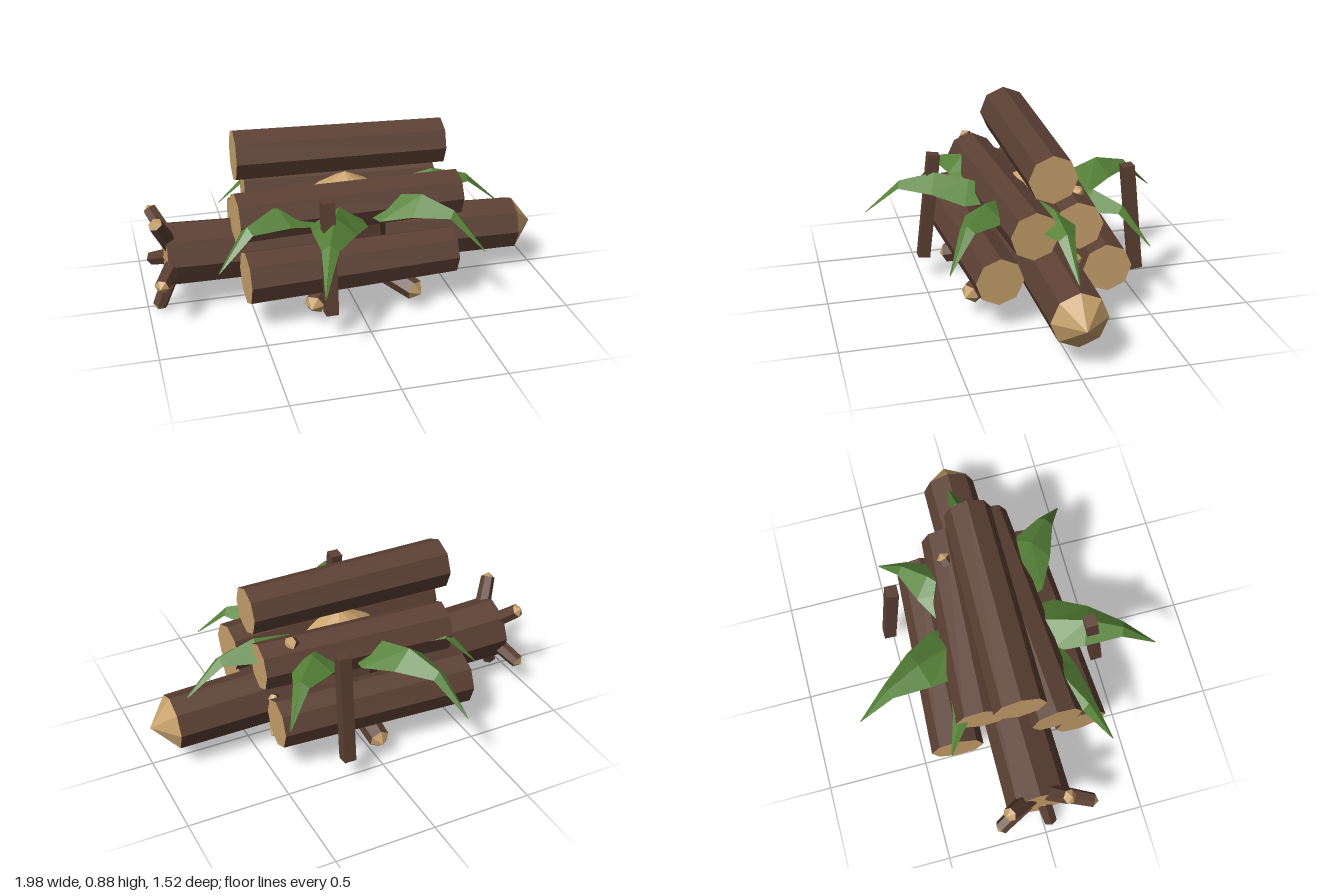
import * as THREE from 'three';

const bark = new THREE.MeshStandardMaterial({ name: 'bark', color: 0x5c4033, flatShading: true });
const wood = new THREE.MeshStandardMaterial({ name: 'cut wood', color: 0xc8a26c, flatShading: true });
const leaf = new THREE.MeshStandardMaterial({ name: 'leaf green', color: 0x568238, flatShading: true, side: THREE.DoubleSide });

const UP = new THREE.Vector3(0, 1, 0);
const vec = (p) => new THREE.Vector3(...p);

// Places a y-aligned mesh so that it runs from p to q
function along(mesh, p, q) {
  const a = vec(p), b = vec(q);
  mesh.position.copy(a).add(b).multiplyScalar(0.5);
  mesh.quaternion.setFromUnitVectors(UP, b.sub(a).normalize());
  return mesh;
}

// Tapered bark cylinder with cut wood on both ends
function log(name, p, q, r0, r1, sides = 8) {
  const h = vec(p).distanceTo(vec(q));
  const mesh = new THREE.Mesh(new THREE.CylinderGeometry(r1, r0, h, sides), [bark, wood, wood]);
  mesh.name = name;
  return along(mesh, p, q);
}

// Log whose far end finishes in a blunt wooden point
function pointed(name, p, q, r0, r1, point, sides) {
  const group = new THREE.Group();
  group.name = name;
  const tip = vec(q).sub(vec(p)).normalize().multiplyScalar(point).add(vec(q)).toArray();
  const cone = new THREE.Mesh(new THREE.ConeGeometry(r1, point, sides, 1, true), wood);
  cone.name = name + 'Tip';
  group.add(log(name + 'Bark', p, q, r0, r1, sides), along(cone, q, tip));
  return group;
}

// Drooping frond: ridge line with lower edges, growing outward along +x
function frond(length, angle) {
  const rows = [ // distance, half width, ridge height, edge height
    [0.05, 0.04, 0.50, 0.47], [0.28, 0.14, 0.56, 0.47], [0.45, 0.105, 0.59, 0.51],
    [0.63, 0.04, 0.54, 0.51], [0.81, 0.002, 0.365, 0.36],
  ];
  const pos = [], index = [];
  rows.forEach(([d, w, ridge, edge], i) => {
    const x = d * length / 0.81;
    pos.push(x, edge, -w, x, ridge, 0, x, edge, w);
    if (i === 0) return;
    for (let k = 0; k < 2; k++) {
      const a = (i - 1) * 3 + k, b = a + 3;
      index.push(a, a + 1, b, a + 1, b + 1, b);
    }
  });
  const geo = new THREE.BufferGeometry();
  geo.setAttribute('position', new THREE.Float32BufferAttribute(pos, 3));
  geo.setIndex(index);
  geo.computeVertexNormals();
  const mesh = new THREE.Mesh(geo, leaf);
  mesh.name = 'frond';
  mesh.rotation.y = -angle;
  return mesh;
}

export function createModel() {
  const model = new THREE.Group();
  model.name = 'logPile';

  // Stacked logs
  model.add(
    log('topLog', [-0.545, 0.76, -0.025], [0.485, 0.745, -0.01], 0.127, 0.117),
    log('middleFrontLog', [-0.575, 0.512, 0.155], [0.545, 0.502, 0.09], 0.127, 0.117),
    log('middleBackLog', [-0.48, 0.505, -0.19], [0.48, 0.505, -0.135], 0.127, 0.117),
    log('bottomFrontLog', [-0.555, 0.265, 0.295], [0.48, 0.262, 0.24], 0.13, 0.117),
    log('bottomBackLog', [-0.53, 0.265, -0.33], [0.46, 0.265, -0.285], 0.13, 0.12),
  );

  // Long fallen trunk with a ring of roots
  model.add(pointed('fallenTrunk', [-0.9, 0.283, -0.015], [0.89, 0.24, -0.02], 0.16, 0.135, 0.11, 8));
  [-82, -8, 64, 136, 208].forEach((deg) => {
    const t = THREE.MathUtils.degToRad(deg), c = Math.cos(t), s = Math.sin(t);
    model.add(pointed('trunkRoot',
      [-0.87, 0.28 + 0.08 * s, 0.08 * c], [-0.945, 0.28 + 0.25 * s, 0.25 * c], 0.042, 0.036, 0.025, 6));
  });
  model.add(pointed('trunkBranch', [0.36, 0.27, -0.06], [0.42, 0.31, -0.155], 0.03, 0.025, 0.015, 6));

  // Upright stump with spreading roots and a side branch
  model.add(pointed('stump', [0, 0.14, 0], [0, 0.53, 0], 0.25, 0.19, 0.1, 9));
  for (let i = 0; i < 5; i++) {
    const t = THREE.MathUtils.degToRad(-92 + 72 * i), c = Math.cos(t), s = Math.sin(t);
    model.add(pointed('stumpRoot',
      [0.14 * c, 0.19, 0.14 * s], [0.43 * c, 0.112, 0.43 * s], 0.062, 0.052, 0.04, 6));
  }
  model.add(pointed('stumpBranch', [0.13, 0.43, -0.07], [0.335, 0.615, -0.175], 0.045, 0.035, 0.025, 6));

  // Fronds, each given by the ground position of its tip
  [[-0.3, -0.76], [0.48, -0.49], [0.82, -0.04], [0.56, 0.49], [-0.28, 0.76], [-0.7, 0.41], [-0.58, -0.37]]
    .forEach(([x, z]) => model.add(frond(Math.hypot(x, z), Math.atan2(z, x))));

  // Leaning square posts
  for (const [name, x, top, bottom] of [['frontPost', -0.19, 0.42, 0.487], ['backPost', 0.2, -0.46, -0.518]]) {
    const post = new THREE.Mesh(new THREE.BoxGeometry(0.06, 0.55, 0.06), bark);
    post.name = name;
    model.add(along(post, [x, 0.13, bottom], [x, 0.675, top]));
  }
  return model;
}
